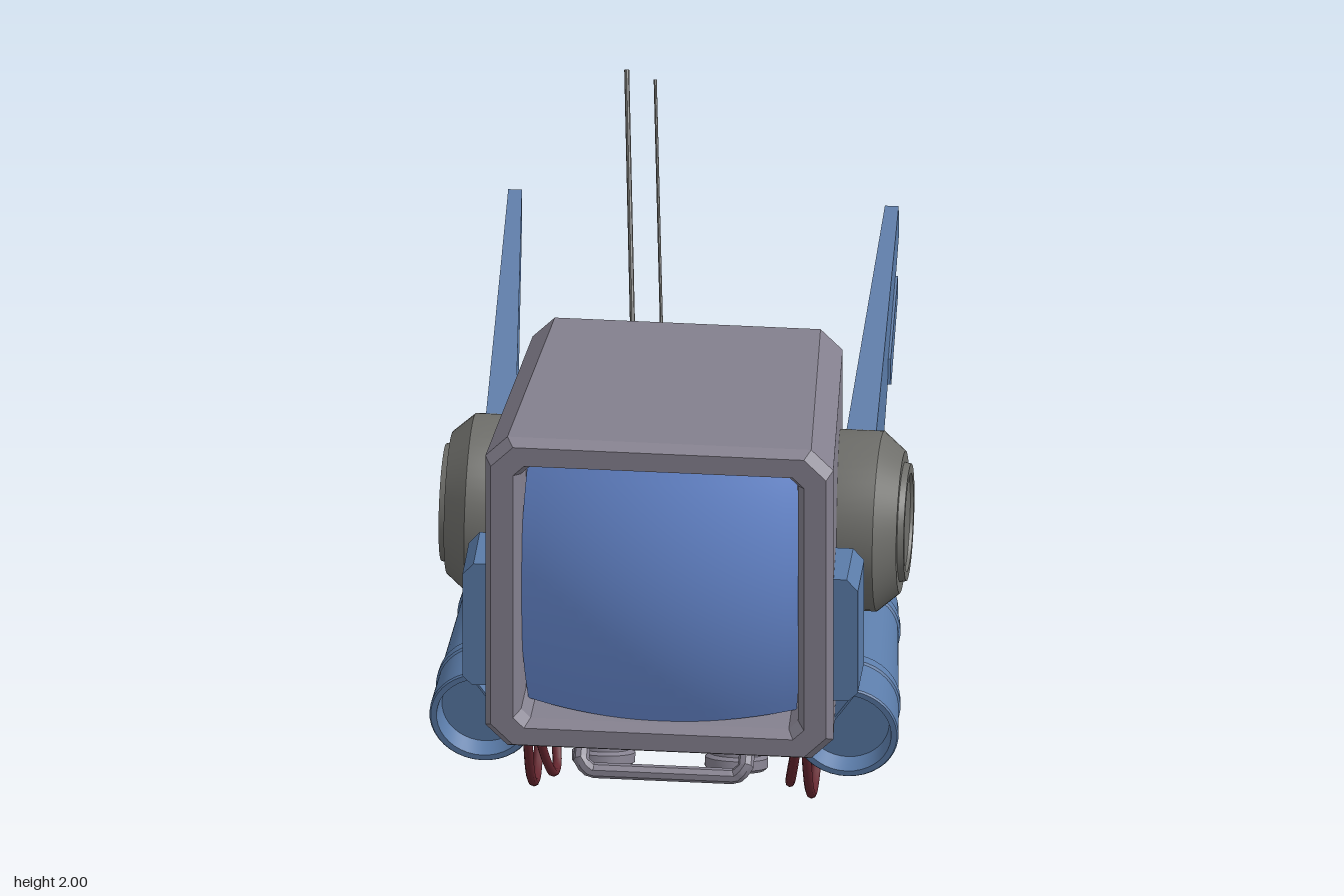
import * as THREE from 'three';
import { toCreasedNormals } from 'three/addons/utils/BufferGeometryUtils.js';

const V = (x, y, z) => new THREE.Vector3(x, y, z);
const mat = (color) => new THREE.MeshStandardMaterial({ color });

export function createModel() {
  const shell = mat(0x84808e), dark = mat(0x6e6e6a), blue = mat(0x5a7ba8);
  const glass = mat(0x6a8dd6), red = mat(0x65262f);
  const root = new THREE.Group();
  root.name = 'screenHeadRobot';

  const add = (parent, name, geo, material, crease = 0.6) => {
    const mesh = new THREE.Mesh(toCreasedNormals(geo, crease), material);
    mesh.name = name;
    parent.add(mesh);
    return mesh;
  };

  // Skin through rings of equal length (counter-clockwise seen from +z, running to +z), capped
  const loft = (rings) => {
    const p = [];
    const tri = (...vs) => vs.forEach((v) => p.push(v.x, v.y, v.z));
    const n = rings[0].length;
    for (let k = 0; k < rings.length - 1; k++) {
      const a = rings[k], b = rings[k + 1];
      for (let i = 0; i < n; i++) {
        const j = (i + 1) % n;
        tri(a[i], a[j], b[j]);
        tri(a[i], b[j], b[i]);
      }
    }
    const cap = (ring, flip) => {
      const c = ring.reduce((s, v) => s.add(v), V(0, 0, 0)).divideScalar(n);
      ring.forEach((v, i) => {
        const w = ring[(i + 1) % n];
        flip ? tri(c, w, v) : tri(c, v, w);
      });
    };
    cap(rings[0], true);
    cap(rings[rings.length - 1], false);
    const g = new THREE.BufferGeometry();
    g.setAttribute('position', new THREE.Float32BufferAttribute(p, 3));
    return g;
  };

  const lathe = (pts, seg = 40) =>
    new THREE.LatheGeometry(pts.map(([r, h]) => new THREE.Vector2(r, h)), seg);
  const extrude = (pts, depth) => new THREE.ExtrudeGeometry(
    new THREE.Shape(pts.map(([x, y]) => new THREE.Vector2(x, y))), { depth, bevelEnabled: false });

  // Tapered head with cut corners and a recessed front: z, half width, bottom, top, cut
  const frame = ([z, w, b, t, c]) => [
    [w, b + c], [w, t - c], [w - c, t], [c - w, t], [-w, t - c], [-w, b + c], [c - w, b], [w - c, b],
  ].map(([x, y]) => V(x, y, z));
  add(root, 'head', loft([
    [-0.225, 0.47, 0.52, 1.41, 0.06], [-0.2, 0.49, 0.5, 1.43, 0.07],
    [0.75, 0.55, 0.405, 1.5, 0.07], [0.785, 0.53, 0.425, 1.48, 0.07],
    [0.785, 0.46, 0.485, 1.415, 0.035], [0.74, 0.438, 0.5, 1.395, 0.03],
    [0.6, 0.435, 0.505, 1.39, 0.03],
  ].map(frame)), shell, 0.2);

  // Pillow-shaped screen
  const screen = new THREE.PlaneGeometry(2, 2, 20, 20);
  const sp = screen.attributes.position;
  for (let i = 0; i < sp.count; i++) {
    const u = sp.getX(i), v = sp.getY(i);
    sp.setXYZ(i, 0.442 * u * (1 - 0.04 * v * v), 0.947 + 0.447 * v * (1 - 0.04 * u * u),
      0.81 - 0.085 * (u * u + v * v));
  }
  add(root, 'screen', screen, glass, 1);

  // Pair of antennas on the back
  [[V(-0.172, 1.24, -0.21), V(-0.25, 2, -0.81), 0.008],
    [V(-0.08, 1.24, -0.21), V(-0.16, 1.97, -0.81), 0.005]].forEach(([a, b, r]) =>
    add(root, 'antenna', new THREE.TubeGeometry(new THREE.LineCurve3(a, b), 1, r, 8), dark));

  // Front and rear handle bars under the head
  const handle = (name, pts) => {
    const path = new THREE.CurvePath();
    for (let i = 0; i < pts.length - 1; i++) path.add(new THREE.LineCurve3(pts[i], pts[i + 1]));
    add(root, name, new THREE.TubeGeometry(path, 60, 0.025, 8), shell);
  };
  const bar = (y, z, topY, topZ) => [V(-0.26, topY, topZ), V(-0.26, y + 0.03, z), V(-0.23, y, z),
    V(0.23, y, z), V(0.26, y + 0.03, z), V(0.26, topY, topZ)];
  handle('frontHandle', bar(0.26, 0.62, 0.36, 0.5));
  handle('rearHandle', bar(0.33, 0.0, 0.44, 0.08));

  // Everything that comes in pairs, built on the +x side
  const buildSide = (side) => {
    // Ear drum with stepped cap
    const ear = lathe([[0, 0.44], [0.27, 0.44], [0.285, 0.5], [0.285, 0.645], [0.225, 0.715],
      [0.19, 0.715], [0.185, 0.735], [0.155, 0.735], [0.15, 0.725], [0, 0.725]], 48).rotateZ(-Math.PI / 2);
    add(side, 'earDrum', ear, dark).position.set(0, 0.955, 0.175);

    // Ear fin, thinning towards its tip
    const fin = extrude([[-0.06, 1.125], [0.06, 0.88], [0.1, 0.92], [0.75, 1.5], [0.73, 1.6], [-0.04, 1.18]], 1);
    const fp = fin.attributes.position;
    for (let i = 0; i < fp.count; i++) {
      const inner = 0.52 + 0.055 * (fp.getX(i) + 0.06) / 0.81;
      fp.setZ(i, fp.getZ(i) < 0.5 ? inner : 0.617);
    }
    add(side, 'earFin', fin.rotateY(Math.PI / 2), blue, 0.2);
    const blade = extrude([[0.36, 1.16], [0.4, 1.14], [0.63, 1.345], [0.62, 1.41], [0.38, 1.24]], 0.045);
    add(side, 'finBlade', blade.rotateY(Math.PI / 2).translate(0.58, 0, 0), blue, 0.2);

    // Cheek pad
    const pad = extrude([[0.48, 0.6], [0.595, 0.6], [0.625, 0.63], [0.625, 0.99], [0.59, 1.03], [0.48, 1.03]], 0.215);
    add(side, 'cheekPad', pad.translate(0, 0, 0.51), blue, 0.2);

    // Flat-sided arm guard with two ribs and a hollow front: z, radius scale, slide inwards
    const guardRing = ([z, k]) => {
      const t = THREE.MathUtils.clamp((z + 0.03) / 0.63, 0, 1), r = (0.122 + 0.045 * t) * k;
      return Array.from({ length: 25 }, (_, i) => {
        const a = THREE.MathUtils.degToRad(-33.5 - 112 + i * 224 / 24);
        return V(0.56 + 0.015 * t + r * Math.cos(a), 0.545 - 0.125 * t + r * Math.sin(a),
          z - 0.12 * r * Math.sin(a) * (1 - 2 * t));
      });
    };
    add(side, 'armGuard', loft([[-0.03, 0.9], [-0.02, 1], [0.06, 1], [0.065, 1.05], [0.095, 1.05], [0.1, 1],
      [0.42, 1], [0.425, 1.04], [0.455, 1.04], [0.46, 1], [0.595, 1], [0.6, 0.97], [0.6, 0.86],
      [0.54, 0.82]].map(guardRing)), blue, 0.5);

    // Elbow and barrel-shaped forearm
    const from = V(0.42, 0.56, -0.05), to = V(0.48, 0.19, -0.36);
    add(side, 'elbow', new THREE.SphereGeometry(0.155, 28, 18), dark).position.copy(from);
    const arm = add(side, 'forearm', lathe([[0, -0.04], [0.15, -0.04], [0.16, 0.06], [0.165, 0.18],
      [0.185, 0.22], [0.192, 0.28], [0.192, 0.31], [0.182, 0.315], [0.182, 0.33], [0.192, 0.335],
      [0.185, 0.4], [0.17, 0.43], [0.125, 0.487], [0, 0.487]], 32), dark);
    arm.position.copy(from);
    arm.quaternion.setFromUnitVectors(V(0, 1, 0), to.clone().sub(from).normalize());

    // Hip drum under the head, and the shaft out to the arm
    const hip = lathe([[0, 0.07], [0.26, 0.07], [0.28, 0.09], [0.28, 0.2], [0.265, 0.21], [0.265, 0.23],
      [0.28, 0.24], [0.28, 0.34], [0.25, 0.37], [0.12, 0.37], [0.12, 0.54], [0, 0.54]], 44);
    add(side, 'hipDrum', hip.rotateZ(-Math.PI / 2), dark).position.set(0, 0.5, 0.18);

    // Hollow nozzle tilted forward
    const nozzle = add(side, 'nozzle', lathe([[0, -0.14], [0.085, -0.14], [0.085, -0.05], [0.1, -0.04],
      [0.1, -0.01], [0.09, 0], [0.065, 0], [0.055, -0.05], [0, -0.05]], 28), shell);
    nozzle.position.set(0.21, 0.17, 0.4);
    nozzle.quaternion.setFromUnitVectors(V(0, 1, 0), V(0, -0.95, 0.31).normalize());

    // Hanging cables
    [[V(0.44, 0.44, 0.52), V(0.44, 0.26, 0.48), V(0.44, 0.1, 0.38), V(0.438, 0.024, 0.24), V(0.44, 0.1, 0.11),
      V(0.44, 0.25, 0.06), V(0.44, 0.46, 0.04)],
    [V(0.42, 0.44, 0.5), V(0.4, 0.25, 0.45), V(0.375, 0.1, 0.34), V(0.37, 0.085, 0.26), V(0.385, 0.18, 0.17),
      V(0.41, 0.32, 0.13), V(0.42, 0.46, 0.11)]].forEach((pts) =>
      add(side, 'cable', new THREE.TubeGeometry(new THREE.CatmullRomCurve3(pts), 40, 0.015, 8), red, 1));
  };

  for (const s of [1, -1]) {
    const side = new THREE.Group();
    side.name = s > 0 ? 'leftSide' : 'rightSide';
    buildSide(side);
    side.scale.x = s;
    root.add(side);
  }
  return root;
}
